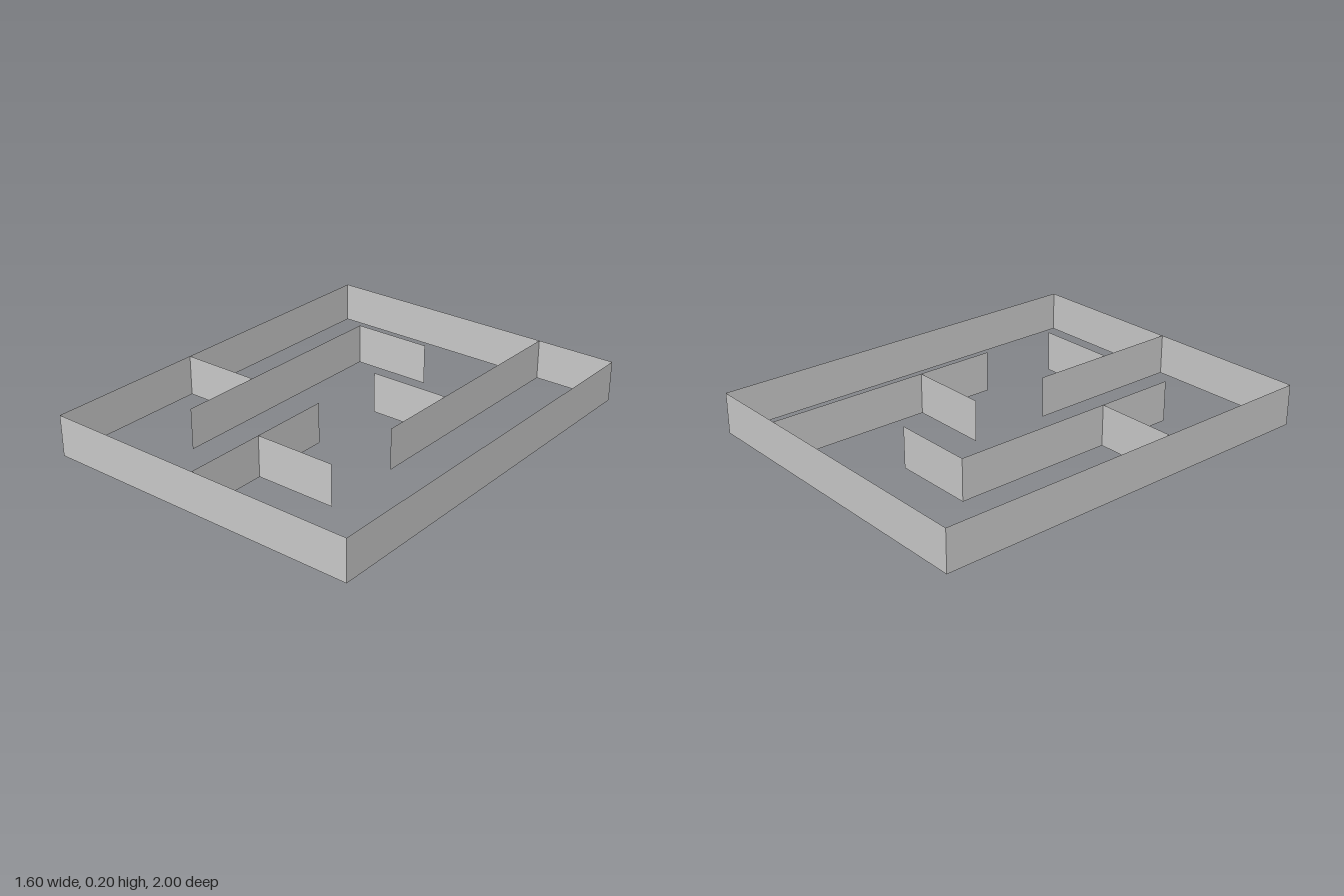
import * as THREE from 'three';

const HEIGHT = 0.2;

export function createModel() {
  const maze = new THREE.Group();
  maze.name = 'maze';
  const material = new THREE.MeshStandardMaterial({ color: 0xcccccc, side: THREE.DoubleSide });

  // Paper-thin upright wall between two floor points
  function addWall(name, x1, z1, x2, z2) {
    const length = Math.hypot(x2 - x1, z2 - z1);
    const wall = new THREE.Mesh(new THREE.PlaneGeometry(length, HEIGHT), material);
    wall.name = name;
    wall.position.set((x1 + x2) / 2, HEIGHT / 2, (z1 + z2) / 2);
    wall.rotation.y = -Math.atan2(z2 - z1, x2 - x1);
    maze.add(wall);
  }

  // Outer enclosure
  addWall('frontWall', -0.8, 1, 0.8, 1);
  addWall('leftWall', 0.8, 1, 0.8, -1);
  addWall('backWall', 0.8, -1, -0.8, -1);
  addWall('rightWall', -0.8, -1, -0.8, 1);

  // Long partition from the back wall, with its side branch
  addWall('backPartition', 0.4, -1, 0.4, 0.2);
  addWall('backPartitionBranch', 0, -0.2, 0.4, -0.2);

  // Hooked partition tied to the right wall
  addWall('rightPartition', -0.4, -0.6, -0.4, 0.6);
  addWall('rightPartitionHook', -0.4, -0.6, 0, -0.6);
  addWall('rightPartitionLink', -0.8, 0.2, -0.4, 0.2);

  // Partition from the front wall, with its side branch
  addWall('frontPartition', 0, 0.2, 0, 1);
  addWall('frontPartitionBranch', 0, 0.6, 0.4, 0.6);

  return maze;
}
